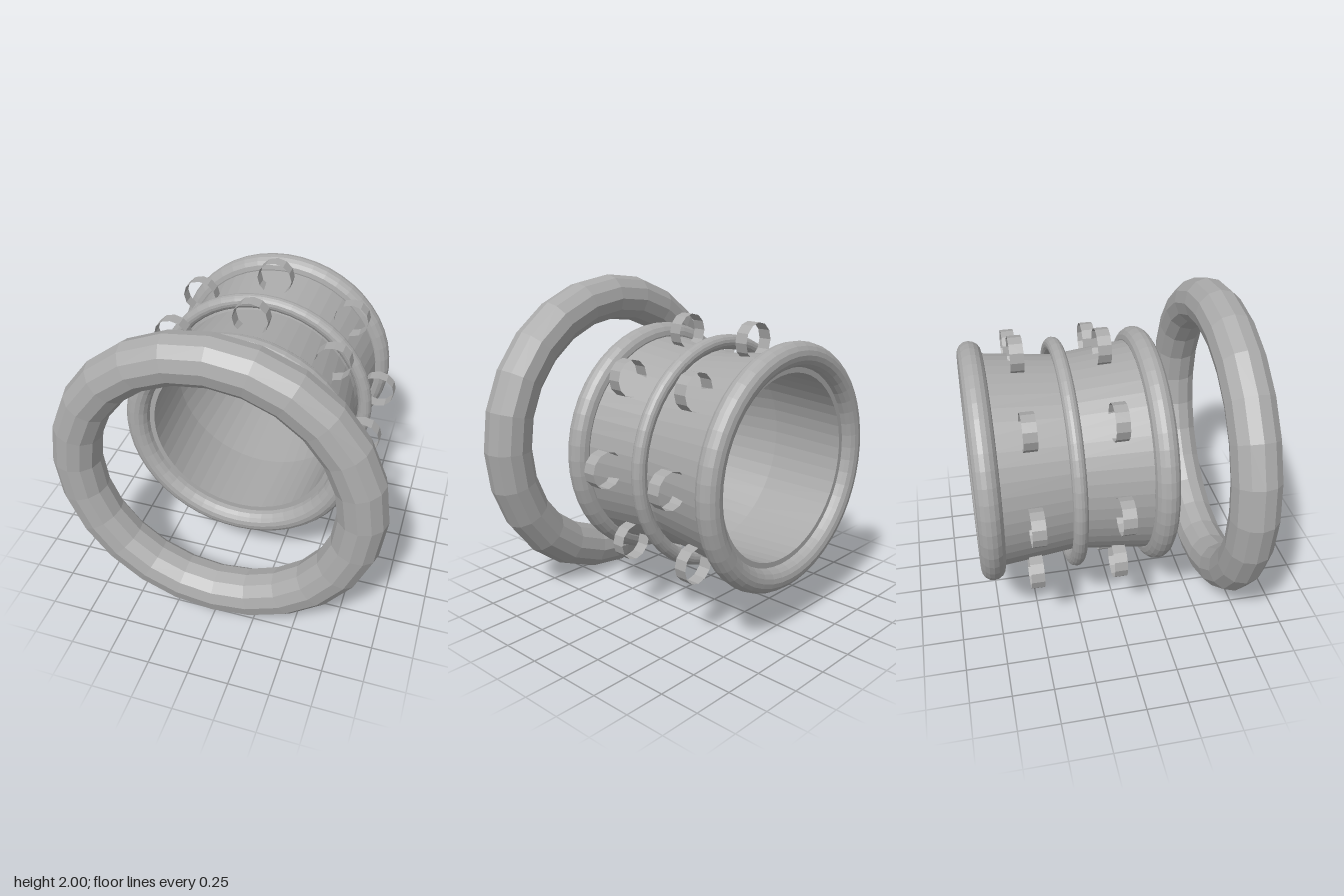
import * as THREE from 'three';

export function createModel() {
  const model = new THREE.Group();
  const grey = new THREE.MeshStandardMaterial({ color: 0xaaaaaa, flatShading: true });
  grey.name = 'grey';
  // open strips, seen from both sides
  const greyStrip = grey.clone();
  greyStrip.name = 'greyStrip';
  greyStrip.side = THREE.DoubleSide;

  const add = (name, geometry, z, material = grey) => {
    const mesh = new THREE.Mesh(geometry, material);
    mesh.name = name;
    mesh.position.set(0, 1, z);
    model.add(mesh);
    return mesh;
  };

  // Separate large ring in front
  add('frontRing', new THREE.TorusGeometry(0.855, 0.145, 12, 24), 0.69);

  // Waisted tube wall: outside from back to front, then back along the inside
  const drumZ = -0.265, half = 0.505;
  const profile = [
    [0.66, -half], [0.605, 0], [0.66, half],
    [0.555, half], [0.59, 0], [0.555, -half], [0.66, -half],
  ].map(([r, y]) => new THREE.Vector2(r, y));
  add('drumWall', new THREE.LatheGeometry(profile, 48).rotateX(Math.PI / 2), drumZ);

  // Rounded rims and middle band
  for (const [name, side] of [['frontRim', 1], ['backRim', -1]]) {
    add(name, new THREE.TorusGeometry(0.66, 0.073, 16, 48), drumZ + side * half);
  }
  add('middleBand', new THREE.TorusGeometry(0.669, 0.044, 16, 48), drumZ);

  // Two rows of eight small hoops set into the wall
  const hoop = new THREE.CylinderGeometry(0.11, 0.11, 0.08, 12, 1, true).rotateX(Math.PI / 2);
  for (const [row, side] of [['front', 1], ['back', -1]]) {
    for (let i = 0; i < 8; i++) {
      const a = (i / 8) * Math.PI * 2;
      const mesh = add(`${row}Hoop${i + 1}`, hoop, drumZ + side * half / 2, greyStrip);
      mesh.position.x = 0.707 * Math.cos(a);
      mesh.position.y += 0.707 * Math.sin(a);
    }
  }
  return model;
}
